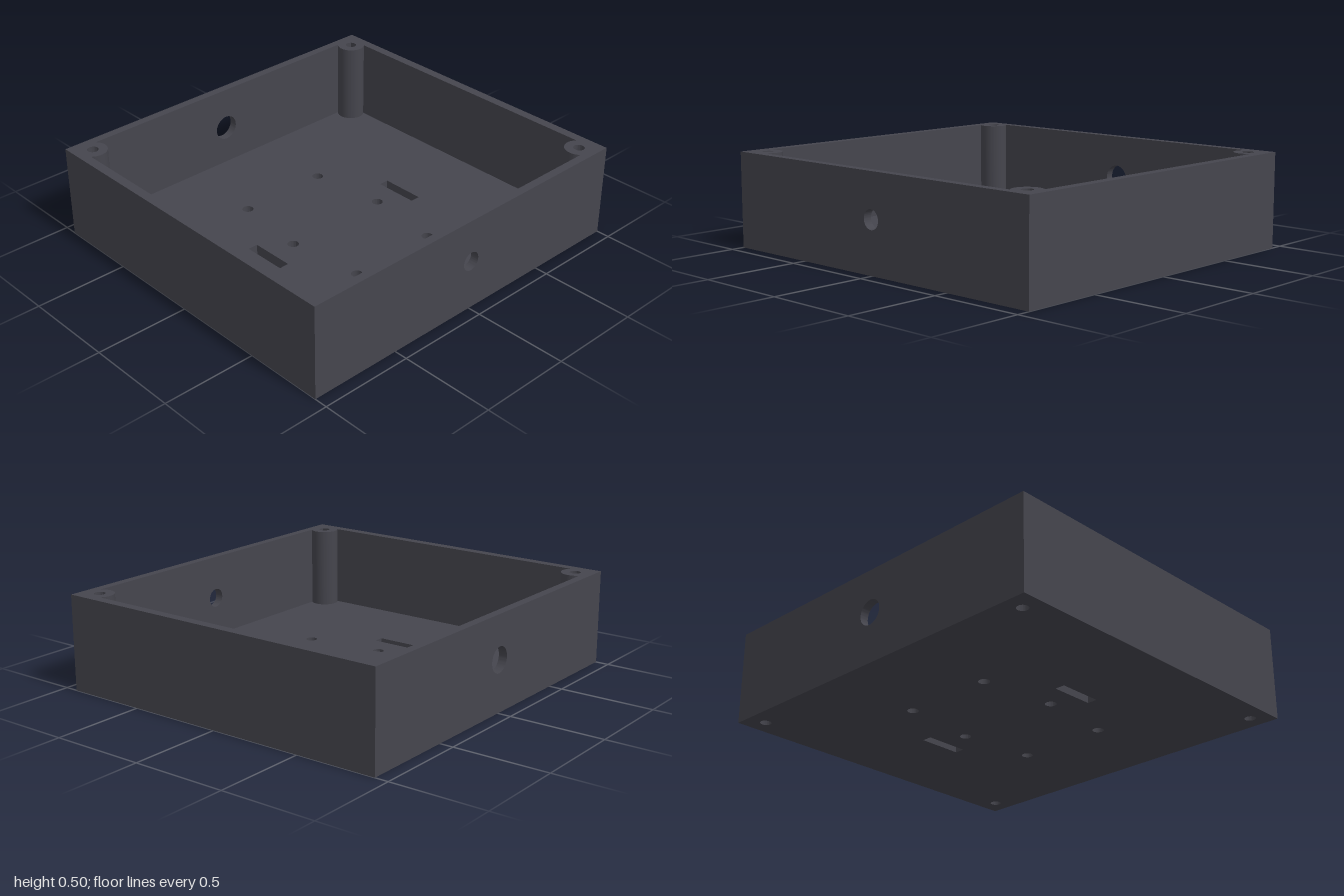
import * as THREE from 'three';
import { toCreasedNormals } from 'three/addons/utils/BufferGeometryUtils.js';

const W = 1, D = 0.93, H = 0.5;          // half width, half depth, height
const WALL = 0.05, FLOOR = 0.06;
const IX = W - WALL, IZ = D - 0.045;     // inner half sizes
const PX = 0.9, PZ = 0.833, PR = 0.075;  // corner post centre and radius
const SCREW = 0.029;                     // screw hole radius

function rect(x0, y0, x1, y1, Kind = THREE.Shape) {
  return new Kind([[x0, y0], [x1, y0], [x1, y1], [x0, y1]].map(([x, y]) => new THREE.Vector2(x, y)));
}

function circle(x, y, r) {
  const path = new THREE.Path();
  path.absarc(x, y, r, 0, Math.PI * 2, true);
  return path;
}

function extrude(shape, depth) {
  const geo = new THREE.ExtrudeGeometry(shape, { depth, bevelEnabled: false, curveSegments: 32 });
  return toCreasedNormals(geo, 0.5);
}

export function createModel() {
  const group = new THREE.Group();
  const plastic = new THREE.MeshStandardMaterial({ color: 0x45454d });
  plastic.name = 'dark grey plastic';
  const add = (name, geo) => {
    const mesh = new THREE.Mesh(geo, plastic);
    mesh.name = name;
    group.add(mesh);
    return mesh;
  };
  const signs = [-1, 1];

  // Floor plate with screw holes and two strap slots
  const floor = rect(-W, -D, W, D);
  for (const sx of signs) {
    for (const sz of signs) {
      floor.holes.push(circle(sx * PX, sz * PZ, SCREW), circle(sx * 0.25, sz * 0.415, SCREW));
    }
    floor.holes.push(circle(sx * 0.3, 0, SCREW));
    floor.holes.push(rect(sx * 0.467 - 0.027, -0.119, sx * 0.467 + 0.027, 0.119, THREE.Path));
  }
  add('floor', extrude(floor, FLOOR).rotateX(-Math.PI / 2));

  // Front and back walls, each with a round cable hole (larger at the back)
  for (const [name, z, r] of [['frontWall', IZ, 0.05], ['backWall', -D, 0.067]]) {
    const wall = rect(-W, FLOOR, W, H);
    wall.holes.push(circle(0, 0.27, r));
    add(name, extrude(wall, D - IZ).translate(0, 0, z));
  }

  // Side walls
  for (const sx of signs) {
    const wall = add(sx > 0 ? 'leftWall' : 'rightWall', new THREE.BoxGeometry(WALL, H - FLOOR, IZ * 2));
    wall.position.set(sx * (W - WALL / 2), (H + FLOOR) / 2, 0);
  }

  // Round corner posts, cut flush with the inner walls and bored through
  const a0 = -Math.acos((IX - PX) / PR), a1 = -Math.PI - Math.asin((IZ - PZ) / PR);
  for (const sx of signs) for (const sz of signs) {
    const points = [new THREE.Vector2(sx * IX, sz * IZ)];
    for (let i = 0; i <= 28; i++) {
      const a = a0 + (a1 - a0) * i / 28;
      points.push(new THREE.Vector2(sx * (PX + PR * Math.cos(a)), sz * (PZ + PR * Math.sin(a))));
    }
    const post = new THREE.Shape(points);
    post.holes.push(circle(sx * PX, sz * PZ, SCREW));
    add('cornerPost', extrude(post, H - FLOOR).rotateX(-Math.PI / 2).translate(0, FLOOR, 0));
  }

  return group;
}
